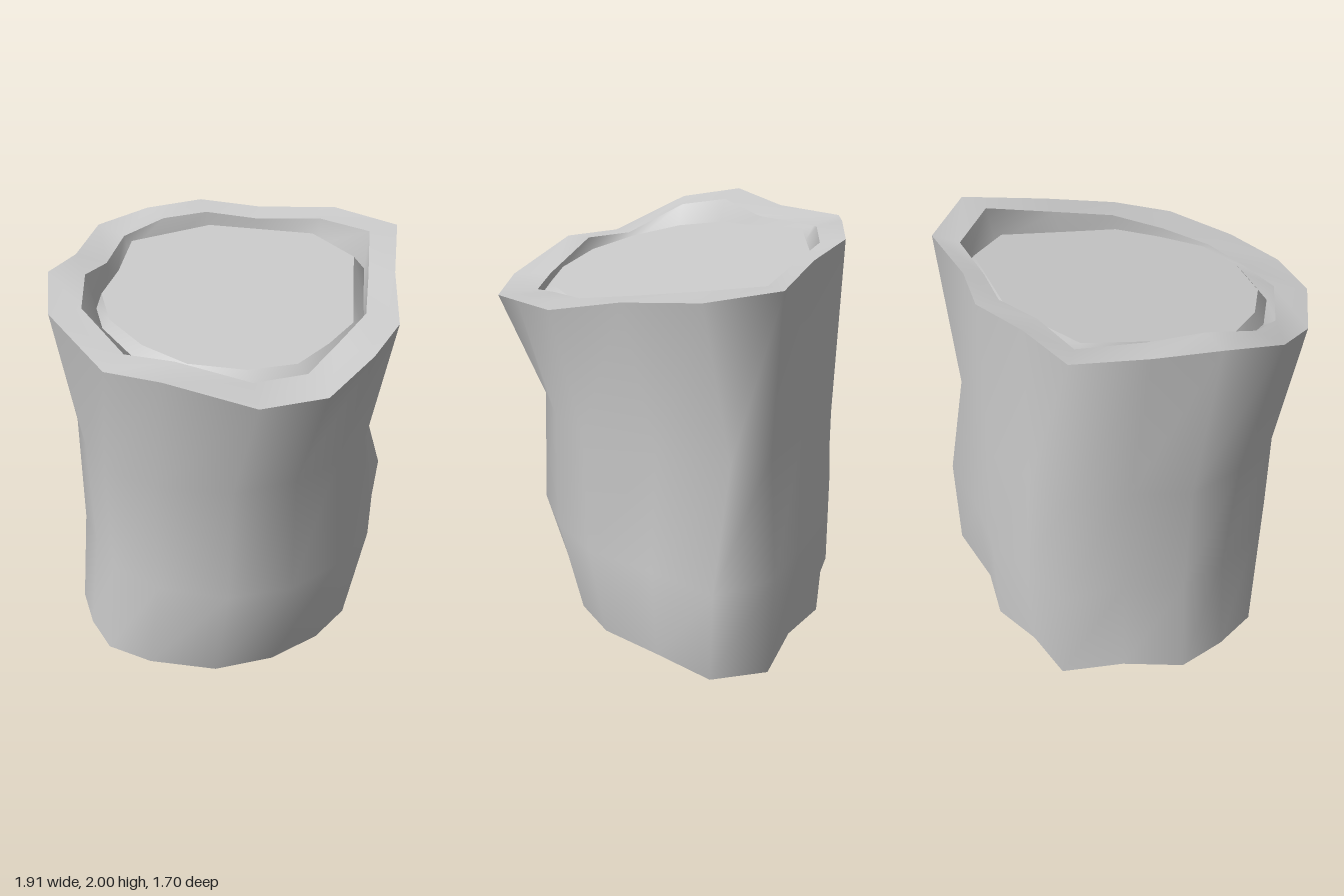
import * as THREE from 'three';

// Horizontal outlines as [x, z], sixteen points starting at the right side and passing the back first
const base = [[-.80, -.15], [-.76, -.40], [-.53, -.60], [-.34, -.845], [-.07, -.78], [.20, -.77], [.44, -.62], [.79, -.51],
  [.87, -.23], [.66, .04], [.46, .31], [.23, .45], [-.06, .52], [-.36, .485], [-.64, .29], [-.79, .09]];
const lower = [[-.76, -.12], [-.73, -.38], [-.52, -.58], [-.36, -.845], [-.08, -.82], [.19, -.80], [.46, -.66], [.79, -.53],
  [.955, -.24], [.75, .06], [.55, .38], [.28, .56], [-.02, .66], [-.34, .61], [-.62, .39], [-.76, .13]];
const waist = [[-.80, -.08], [-.75, -.36], [-.54, -.56], [-.38, -.82], [-.12, -.80], [.16, -.80], [.41, -.65], [.69, -.50],
  [.81, -.31], [.68, .04], [.50, .40], [.26, .56], [0, .64], [-.32, .62], [-.63, .41], [-.79, .16]];
const core = [[-.67, -.01], [-.63, -.23], [-.48, -.40], [-.32, -.64], [-.10, -.655], [.12, -.67], [.34, -.56], [.60, -.43],
  [.70, -.16], [.55, .12], [.42, .37], [.23, .49], [.02, .59], [-.22, .56], [-.46, .43], [-.60, .23]];

// Slanted rim edges as [x, y, z]
const rimOuter = [[-.96, 1.89, -.02], [-.86, 1.965, -.32], [-.65, 1.935, -.54], [-.43, 1.95, -.83], [-.16, 2, -.83],
  [.14, 2, -.83], [.40, 1.975, -.67], [.78, 1.96, -.53], [.955, 1.96, -.18], [.74, 1.88, .19], [.58, 1.78, .53],
  [.35, 1.74, .71], [.05, 1.66, .85], [-.28, 1.66, .82], [-.64, 1.755, .58], [-.83, 1.735, .34]];
const rimInner = [[-.80, 1.89, -.02], [-.70, 1.95, -.25], [-.53, 1.91, -.43], [-.34, 1.92, -.70], [-.12, 1.98, -.705],
  [.12, 1.975, -.71], [.36, 1.945, -.58], [.66, 1.94, -.46], [.79, 1.955, -.17], [.62, 1.87, .14], [.47, 1.80, .40],
  [.25, 1.75, .54], [.04, 1.69, .655], [-.22, 1.685, .625], [-.53, 1.78, .46], [-.70, 1.76, .26]];

const level = (ring, y) => ring.map(([x, z]) => [x, y, z]);

// Smooth skin through a list of rings with equal point counts
function loft(rings) {
  const n = rings[0].length;
  const index = [];
  for (let r = 0; r < rings.length - 1; r++) {
    for (let i = 0; i < n; i++) {
      const a = r * n + i, b = r * n + (i + 1) % n;
      index.push(a, a + n, b, b, a + n, b + n);
    }
  }
  const geometry = new THREE.BufferGeometry();
  geometry.setAttribute('position', new THREE.Float32BufferAttribute(rings.flat(2), 3));
  geometry.setIndex(index);
  geometry.computeVertexNormals();
  return geometry;
}

export function createModel() {
  const group = new THREE.Group();
  const material = new THREE.MeshStandardMaterial({ color: 0xcccccc, side: THREE.DoubleSide });
  material.name = 'light grey';

  const add = (name, rings) => {
    const mesh = new THREE.Mesh(loft(rings), material);
    mesh.name = name;
    group.add(mesh);
  };

  // Tilted core face and the groove around it
  const face = core.map(([x, z]) => [x, 1.81 - 0.16 * z, z]);
  const groove = face.map(([x, y, z]) => [x * 1.065 + 0.01, y - 0.07, z * 1.065 + 0.02]);
  const centre = face.map(() => [0, 1.81, 0]);

  // Bark wall, open at the bottom
  add('bark', [level(base, 0), level(lower, 0.52), level(waist, 1.12), rimOuter]);
  // Uneven top edge of the bark and its inner side
  add('rim', [rimOuter, rimInner]);
  add('innerWall', [rimInner, groove]);
  // Raised cut face inside the rim
  add('coreBevel', [groove, face]);
  add('cutFace', [face, centre]);
  return group;
}
